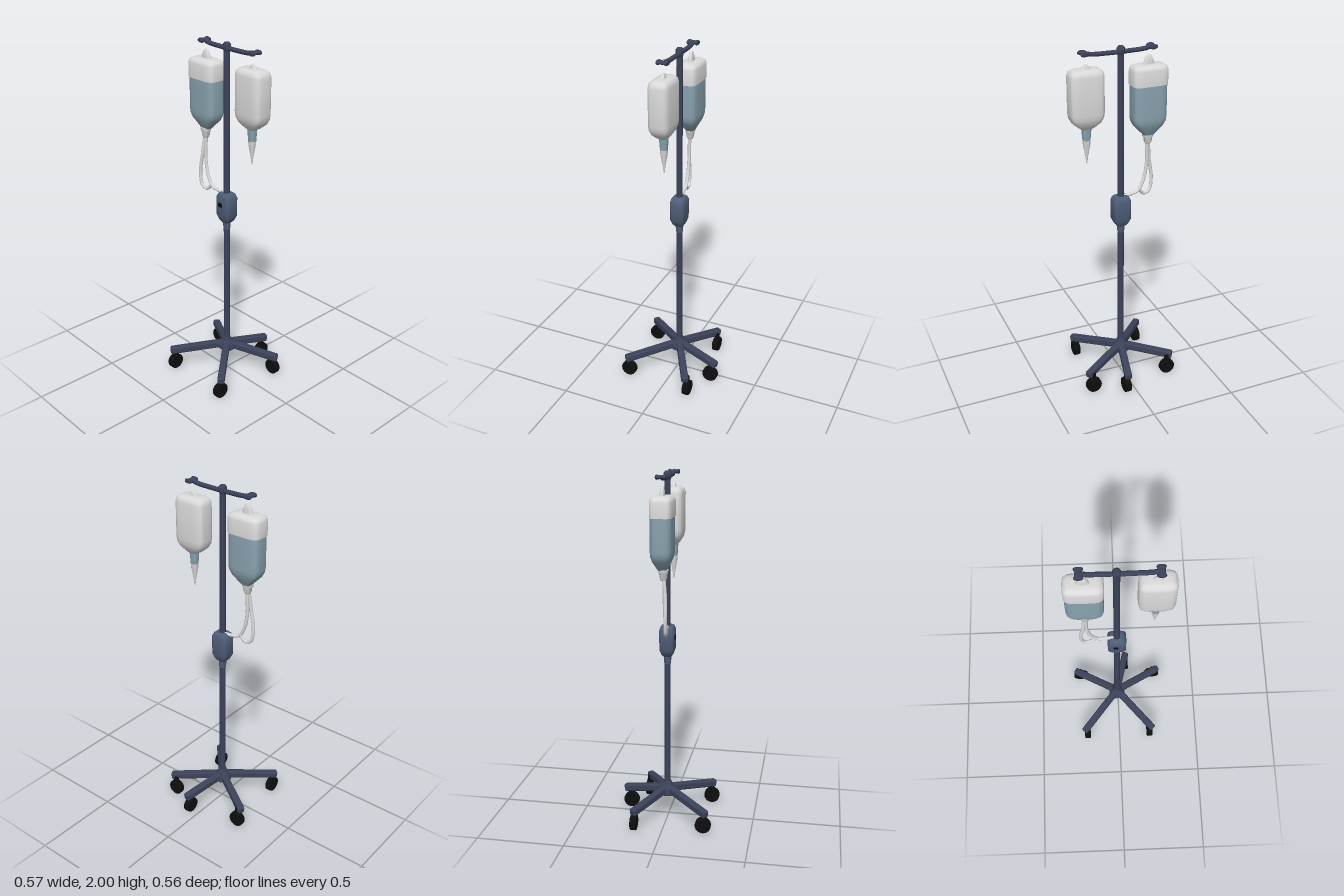
import * as THREE from 'three';
import { toCreasedNormals } from 'three/addons/utils/BufferGeometryUtils.js';
import { RoundedBoxGeometry } from 'three/addons/geometries/RoundedBoxGeometry.js';

const mat = (name, color) => {
  const m = new THREE.MeshStandardMaterial({ color });
  m.name = name;
  return m;
};

// Closed loft through rounded-rectangle sections [y, halfWidth, halfDepth]
function loft(levels, power = 4, n = 32) {
  const pos = [], idx = [];
  const rings = [[levels[0][0], 0, 0], ...levels, [levels.at(-1)[0], 0, 0]];
  rings.forEach(([y, hx, hz], r) => {
    for (let i = 0; i < n; i++) {
      const a = (i / n) * Math.PI * 2, c = Math.cos(a), s = Math.sin(a);
      const x = Math.sign(c) * Math.abs(c) ** (2 / power) * hx;
      const z = Math.sign(s) * Math.abs(s) ** (2 / power) * hz;
      pos.push(x, y, z);
      if (r === 0) continue;
      const j = (i + 1) % n, lo = (r - 1) * n, hi = r * n;
      idx.push(lo + i, hi + i, lo + j, lo + j, hi + i, hi + j);
    }
  });
  const g = new THREE.BufferGeometry();
  g.setAttribute('position', new THREE.Float32BufferAttribute(pos, 3));
  g.setIndex(idx);
  return toCreasedNormals(g, 0.75);
}

// Caster wheel with two half-moon openings, axis along z
function wheelGeometry() {
  const s = new THREE.Shape().absarc(0, 0, 0.04, 0, Math.PI * 2);
  for (const start of [0.35, 0.35 + Math.PI]) {
    const end = start + Math.PI - 0.7;
    const h = new THREE.Path();
    h.absarc(0, 0, 0.025, start, end);
    h.absarc(0, 0, 0.012, end, start, true);
    h.closePath();
    s.holes.push(h);
  }
  const g = new THREE.ExtrudeGeometry(s, {
    depth: 0.026, bevelThickness: 0.005, bevelSize: 0.005, bevelSegments: 2, curveSegments: 20,
  });
  g.translate(0, 0, -0.013);
  return toCreasedNormals(g, 0.7);
}

export function createModel() {
  const root = new THREE.Group();
  root.name = 'dripStand';
  const navy = mat('navy metal', 0x3c4259);
  const slate = mat('slate plastic', 0x4f5d77);
  const white = mat('white plastic', 0xdadada);
  const blue = mat('blue fluid', 0x8aa4b1);
  const black = mat('black rubber', 0x0e0e0f);

  const add = (name, geo, material, x = 0, y = 0, z = 0, parent = root) => {
    const m = new THREE.Mesh(geo, material);
    m.name = name;
    m.position.set(x, y, z);
    parent.add(m);
    return m;
  };
  const cx = -0.008, cz = -0.006;

  // Pole, its top knob and the hub it stands in
  add('pole', new THREE.CylinderGeometry(0.017, 0.018, 1.8, 20), navy, cx, 1.08, cz);
  add('poleKnob', loft([[1.955, 0.017, 0.017], [1.965, 0.021, 0.021], [1.99, 0.021, 0.021], [2, 0.013, 0.013]], 2), navy, cx, 0, cz);
  add('hub', loft([[0.13, 0.035, 0.035], [0.14, 0.05, 0.045], [0.175, 0.048, 0.045],
    [0.195, 0.028, 0.028], [0.22, 0.019, 0.019]], 2.4), navy, cx, 0, cz);

  // Five sloping legs: foot position, wheel position, wheel axis
  const legs = [
    [-0.222, 0.245, -0.208, 0.232, 'x'], [0.21, 0.24, 0.195, 0.232, 'x'],
    [0.055, -0.265, 0.054, -0.235, 'x'],
    [-0.268, -0.158, -0.243, -0.16, 'z'], [0.258, -0.158, 0.23, -0.16, 'z'],
  ];
  const wheel = wheelGeometry();
  for (const [fx, fz, wx, wz, axis] of legs) {
    const a = new THREE.Vector3(cx, 0.173, cz), b = new THREE.Vector3(fx, 0.124, fz);
    const leg = add('leg', new RoundedBoxGeometry(0.041, 0.044, a.distanceTo(b) + 0.02, 3, 0.011), navy);
    leg.position.copy(a).lerp(b, 0.5);
    leg.lookAt(b);
    const caster = new THREE.Group();
    caster.name = 'caster';
    caster.position.set(wx, 0, wz);
    if (axis === 'x') caster.rotation.y = Math.PI / 2;
    root.add(caster);
    add('wheel', wheel, black, 0, 0.05, 0, caster);
    add('casterStem', new THREE.CylinderGeometry(0.013, 0.016, 0.05, 12), black, 0, 0.105, 0, caster);
  }

  // Cross bar with upturned, waisted hooks
  const bar = new THREE.CatmullRomCurve3([[-0.185, 1.983], [-0.15, 1.973], [-0.05, 1.969],
    [0.05, 1.969], [0.16, 1.973], [0.2, 1.983]].map(([x, y]) => new THREE.Vector3(x, y, cz)));
  add('crossBar', new THREE.TubeGeometry(bar, 32, 0.0125, 12), navy);
  const hook = new THREE.LatheGeometry([[0, -0.03], [0.013, -0.03], [0.016, -0.024], [0.012, -0.01],
    [0.012, 0.01], [0.016, 0.024], [0.013, 0.03], [0, 0.03]].map(p => new THREE.Vector2(...p)), 14);
  hook.rotateX(Math.PI / 2);
  hook.scale(1.55, 0.85, 1);
  for (const x of [-0.184, 0.199]) add('hook', hook, navy, x, 1.981, -0.007);

  // Pump clamped on the pole
  add('pumpBody', loft([[0.978, 0.024, 0.024], [0.99, 0.036, 0.032], [1.02, 0.051, 0.042], [1.13, 0.052, 0.043],
    [1.15, 0.042, 0.036], [1.157, 0.032, 0.028]], 5), slate, cx, 0, cz);
  add('pumpCollar', new THREE.CylinderGeometry(0.023, 0.019, 0.05, 16), slate, cx, 0.96, cz);
  add('pumpScreen', new THREE.BoxGeometry(0.028, 0.024, 0.008), black, -0.015, 1.09, 0.037);

  // Filled bag
  const bagX = -0.168, bagZ = -0.004;
  add('bagTop', loft([[1.778, 0.1, 0.061], [1.86, 0.1, 0.061], [1.875, 0.094, 0.056],
    [1.884, 0.078, 0.042], [1.887, 0.05, 0.025]], 4.5), white, bagX, 0, bagZ);
  add('bagFluid', loft([[1.495, 0.028, 0.022], [1.515, 0.047, 0.032], [1.55, 0.08, 0.05], [1.575, 0.093, 0.057],
    [1.6, 0.097, 0.059], [1.779, 0.097, 0.059]], 4), blue, bagX, 0, bagZ);
  add('bagTab', loft([[1.88, 0.034, 0.014], [1.905, 0.027, 0.012], [1.928, 0.016, 0.01], [1.938, 0.006, 0.005]], 2.5), white, bagX, 0, bagZ);
  add('bagNeck', loft([[1.44, 0.014, 0.014], [1.455, 0.022, 0.02], [1.475, 0.024, 0.022],
    [1.485, 0.031, 0.026], [1.5, 0.031, 0.026]], 2.2), white, -0.171, 0, 0.001);

  // Sealed bag with blue neck and pointed tip
  const sideX = 0.189, sideZ = -0.005;
  add('sideBag', loft([[1.578, 0.025, 0.022], [1.59, 0.045, 0.032], [1.615, 0.076, 0.048], [1.64, 0.09, 0.056],
    [1.665, 0.094, 0.058], [1.865, 0.094, 0.058], [1.885, 0.089, 0.053], [1.897, 0.074, 0.04], [1.9, 0.045, 0.022]], 4.5),
  white, sideX, 0, sideZ);
  add('sideBagTab', loft([[1.895, 0.028, 0.013], [1.912, 0.018, 0.01], [1.925, 0.006, 0.005]], 2.5), white, sideX, 0, sideZ);
  add('sideBagNeck', loft([[1.505, 0.021, 0.02], [1.55, 0.025, 0.023], [1.585, 0.028, 0.025]], 2), blue, sideX, 0, sideZ);
  add('sideBagTip', loft([[1.383, 0.003, 0.003], [1.42, 0.007, 0.007], [1.49, 0.02, 0.019], [1.515, 0.022, 0.021]], 2), white, sideX, 0, sideZ);

  // Two drip tubes that join on the way to the pump
  const tubes = [
    [[-0.177, 1.45, 0.005], [-0.187, 1.34, 0.014], [-0.203, 1.23, 0.016], [-0.19, 1.155, 0.014], [-0.155, 1.14, 0.01], [-0.125, 1.17, 0.004]],
    [[-0.166, 1.45, 0.003], [-0.168, 1.32, 0.006], [-0.15, 1.225, 0.006], [-0.115, 1.165, 0.004], [-0.07, 1.153, 0], [-0.02, 1.15, -0.004]],
  ];
  for (const pts of tubes) {
    const curve = new THREE.CatmullRomCurve3(pts.map(p => new THREE.Vector3(...p)));
    add('dripTube', new THREE.TubeGeometry(curve, 48, 0.0095, 10), white);
  }
  return root;
}
